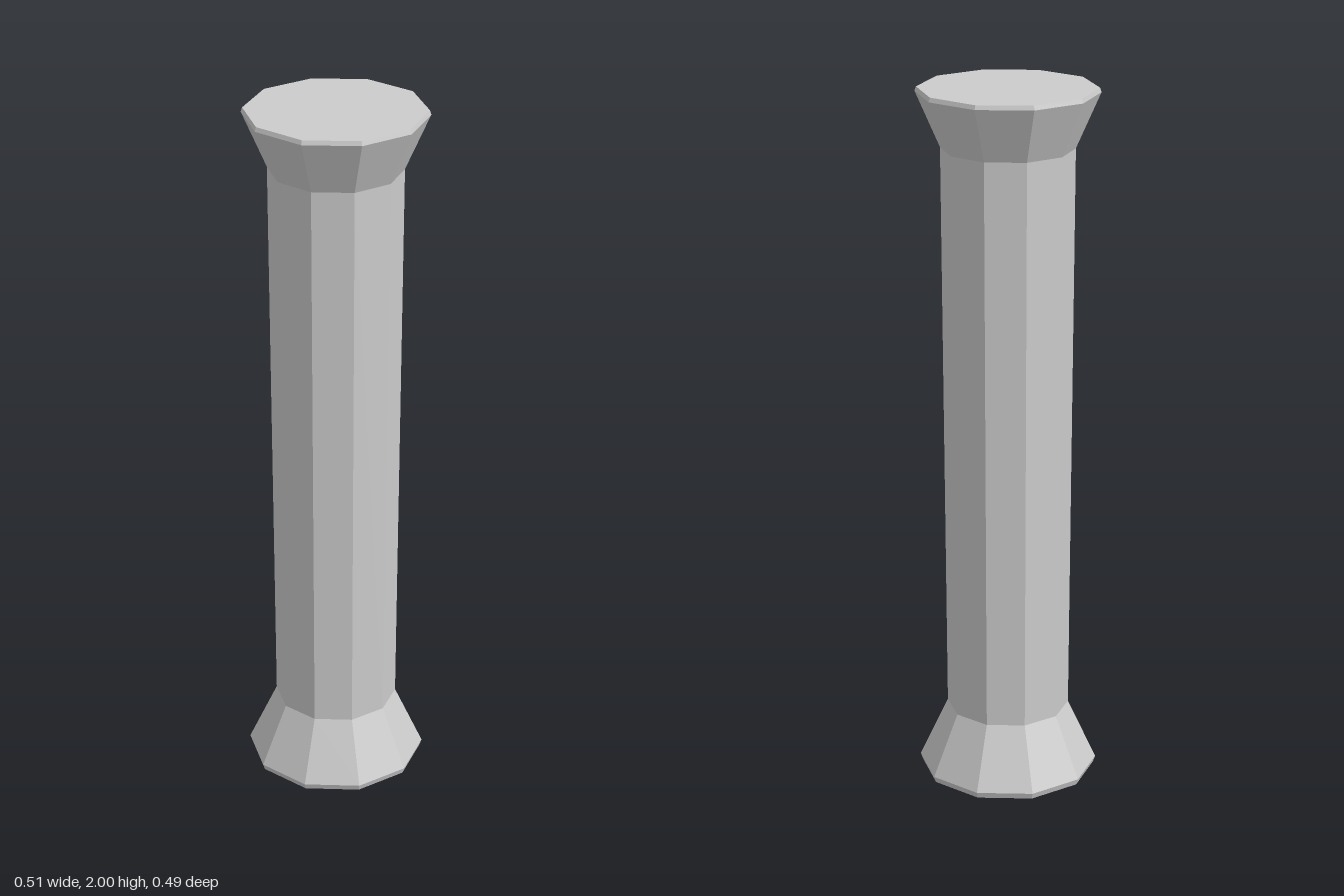
import * as THREE from 'three';

const SIDES = 10;

export function createModel() {
  const group = new THREE.Group();
  group.name = 'column';
  const material = new THREE.MeshStandardMaterial({ color: 0xcccccc, flatShading: true });

  // Ten-sided part turned from [radius, height] points, bottom to top, with a corner on +x
  function addTurned(name, profile) {
    const points = profile.map(([r, y]) => new THREE.Vector2(r, y));
    const mesh = new THREE.Mesh(new THREE.LatheGeometry(points, SIDES, Math.PI / 2), material);
    mesh.name = name;
    group.add(mesh);
  }

  // Flared foot with a small bevel at the floor
  addTurned('base', [[0, 0], [0.25, 0], [0.256, 0.018], [0.175, 0.195]]);
  // Shaft, slightly wider towards the top
  addTurned('shaft', [[0.175, 0.195], [0.183, 1.835]]);
  // Flared head with a bevelled rim and flat top
  addTurned('capital', [[0.183, 1.835], [0.25, 1.988], [0.246, 2], [0, 2]]);

  return group;
}
